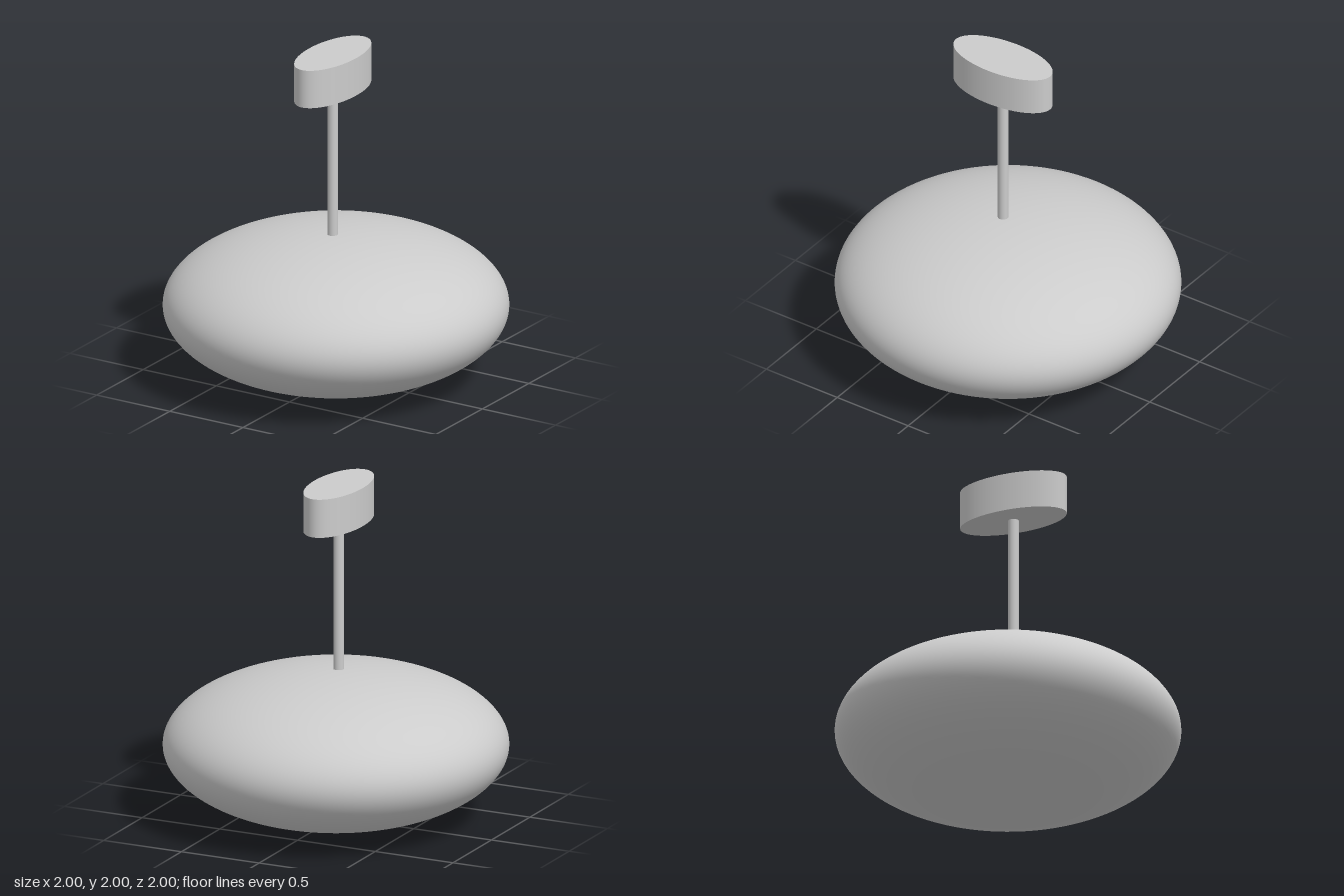
import * as THREE from 'three';

export function createModel() {
  const group = new THREE.Group();
  const material = new THREE.MeshStandardMaterial({ color: 0xcccccc });
  const axisZ = 0.035; // stem and canopy sit slightly forward of the shade

  const add = (name, geometry, y, z = 0) => {
    const mesh = new THREE.Mesh(geometry, material);
    mesh.name = name;
    mesh.position.set(0, y, z);
    group.add(mesh);
    return mesh;
  };

  // Flattened ellipsoid shade
  const shadeHalf = 0.444;
  add('shade', new THREE.SphereGeometry(1, 96, 64).scale(1, shadeHalf, 1), shadeHalf);

  // Thin stem, from just inside the shade up to the canopy
  const stemBottom = 0.86, canopyBottom = 1.77, top = 2;
  add('stem', new THREE.CylinderGeometry(0.031, 0.031, canopyBottom - stemBottom, 32),
    (stemBottom + canopyBottom) / 2, axisZ);

  // Elliptical ceiling canopy
  add('canopy', new THREE.CylinderGeometry(1, 1, top - canopyBottom, 96).scale(0.158, 1, 0.332),
    (canopyBottom + top) / 2, axisZ);

  return group;
}
